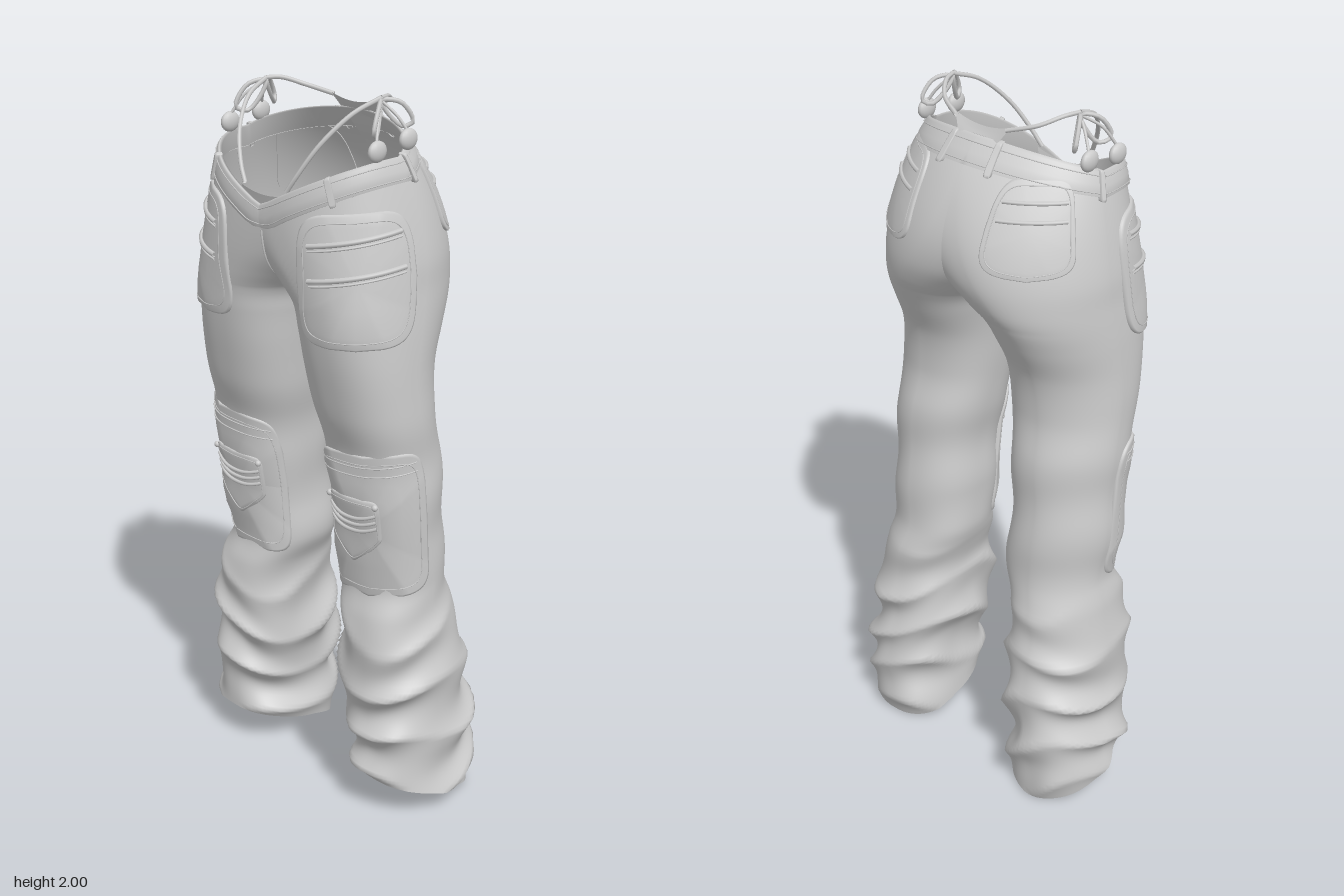
import * as THREE from 'three';
import { mergeVertices } from 'three/addons/utils/BufferGeometryUtils.js';

const { sin, cos, abs, PI, sign, max } = Math;
const material = new THREE.MeshStandardMaterial({ color: 0xcccccc, side: THREE.DoubleSide });
const smooth = THREE.MathUtils.smoothstep;
const rad = THREE.MathUtils.degToRad;

// Half-garment sections: height, inner x, outer x, front z, back z
const SECTIONS = [
  [0, .14, .415, .11, -.215], [.1, .135, .42, .12, -.235], [.2, .15, .415, .135, -.24],
  [.3, .13, .405, .145, -.235], [.42, .11, .405, .15, -.22], [.54, .12, .392, .148, -.2],
  [.62, .108, .375, .14, -.188], [.7, .083, .36, .11, -.172], [.82, .085, .365, .127, -.16],
  [.95, .085, .365, .142, -.15], [1.08, .07, .365, .158, -.14], [1.2, .05, .365, .19, -.12],
  [1.32, .035, .36, .215, -.13], [1.42, .02, .355, .23, -.175], [1.48, .003, .35, .235, -.205],
  [1.53, -.05, .345, .24, -.23], [1.6, -.14, .34, .245, -.248], [1.68, -.21, .325, .247, -.245],
  [1.76, -.25, .305, .245, -.22], [1.84, -.275, .28, .24, -.175], [1.92, -.25, .25, .22, -.105],
];
const POWER = 0.83;
const powSign = (v, p = POWER) => sign(v) * abs(v) ** p;

// Sections are boxy, but rounder at the outer back
const power = (a, y) => (sin(a) < 0 && cos(a) > 0 ? .9 + .2 * smooth(y, .3, .75) : POWER);

// Smooth interpolation of the section table
function section(y) {
  const S = SECTIONS, n = S.length;
  let i = 0;
  while (i < n - 2 && y > S[i + 1][0]) i++;
  const a = S[i], b = S[i + 1], p = S[max(0, i - 1)], q = S[Math.min(n - 1, i + 2)];
  const h = b[0] - a[0], t = THREE.MathUtils.clamp((y - a[0]) / h, 0, 1);
  const [inner, outer, front, back] = [1, 2, 3, 4].map((k) => {
    const m0 = (b[k] - p[k]) / (b[0] - p[0]) * h, m1 = (q[k] - a[k]) / (q[0] - a[0]) * h;
    return a[k] * (1 + 2 * t) * (1 - t) ** 2 + m0 * t * (1 - t) ** 2
      + b[k] * t * t * (3 - 2 * t) + m1 * t * t * (t - 1);
  });
  return { cx: (inner + outer) / 2, rx: (outer - inner) / 2, cz: (front + back) / 2, rz: (front - back) / 2 };
}

// Angle from the outer side at which the section reaches a given x; x = 0 is the centre seam
function angleAtX(x, y, face = 1) {
  const { cx, rx } = section(y);
  const p = x > cx ? power(face * PI / 4, y) : POWER;
  return Math.acos(THREE.MathUtils.clamp(powSign((x - cx) / rx, 1 / p), -1, 1));
}

// Waist edge: a shallow V in front, nearly level behind
const waistY = (a) => (sin(a) > 0
  ? 1.728 + .43 * max(0, .03 + .27 * powSign(cos(a)))
  : 1.857 + .063 * -sin(a));
const hemY = (a) => .06 + .06 * sin(a);

// Bunched cloth on the lower leg, faint creases higher up
function folds(a, y, s) {
  const w = y * 21 + 1.2 * sin(a + s) + .7 * sin(2 * a + y * 8 + s);
  const bunch = .034 * (1 - smooth(y, .35, .72)) * (.45 + .55 * smooth(y, 0, .15));
  const crease = .004 * smooth(y, .5, .7) * (1 - smooth(y, 1.0, 1.3));
  return bunch * (.5 - abs(sin(w))) * (.8 + .4 * sin(3 * a + y * 11 + s))
    + crease * sin(y * 26 + 2 * sin(a + s));
}

// Point on the cloth at angle a (0 = outer side, 90 degrees = front)
function cloth(s, a, y, off = 0) {
  const { cx, rx, cz, rz } = section(y);
  const n = new THREE.Vector2(cos(a) / rx, sin(a) / rz).normalize();
  const d = off + folds(a, y, s), p = power(a, y);
  return new THREE.Vector3(s * max(0, cx + rx * powSign(cos(a), p) + n.x * d), y, cz + rz * powSign(sin(a), p) + n.y * d);
}

// Same, with u in -1..1 fitted to the centre seam; heightAt maps angle to height
function fitted(s, u, heightAt, off) {
  let a = u * 2, y = heightAt(a);
  for (let i = 0; i < 12; i++) { a = u * angleAtX(0, y); y = heightAt(a); }
  const p = cloth(s, a, y, off);
  if (abs(u) === 1 && y > 1.465) p.x = 0;
  return p;
}

function grid(nu, nv, fn, flip) {
  const pos = [], index = [];
  for (let j = 0; j <= nv; j++) for (let i = 0; i <= nu; i++) pos.push(...fn(i / nu, j / nv, j).toArray());
  for (let j = 0; j < nv; j++) for (let i = 0; i < nu; i++) {
    const a = j * (nu + 1) + i, b = a + 1, c = a + nu + 1, d = c + 1;
    index.push(...(flip ? [a, b, c, b, d, c] : [a, c, b, b, c, d]));
  }
  let g = new THREE.BufferGeometry();
  g.setAttribute('position', new THREE.Float32BufferAttribute(pos, 3));
  g.setIndex(index);
  g = mergeVertices(g, 1e-5);
  g.computeVertexNormals();
  return g;
}

function add(parent, name, geometry) {
  const mesh = new THREE.Mesh(geometry, material);
  mesh.name = name;
  parent.add(mesh);
  return mesh;
}

function tube(parent, name, points, r, closed = false, sides = 6) {
  const curve = new THREE.CatmullRomCurve3(points, closed);
  return add(parent, name, new THREE.TubeGeometry(curve, points.length * 4, r, sides, closed));
}

// Rounded cloth patch; at(a, b, off) maps the unit square onto the cloth
function patch(parent, name, at, thick, { corner = .35, stitch = true, point = 0 } = {}) {
  const outline = (phi, r) => {
    const x = sign(cos(phi)) * abs(cos(phi)) ** corner, y = sign(sin(phi)) * abs(sin(phi)) ** corner;
    const lift = y < 0 ? point * abs(x) * -y : 0;
    return [.5 + .5 * r * x, .5 + .5 * r * (y + lift)];
  };
  const radii = [0, .2, .4, .6, .8, .97, 1, 1];
  add(parent, name, grid(56, 7, (u, v, j) => at(...outline(u * 2 * PI, radii[j]), j === 7 ? -.004 : j === 6 ? thick * .6 : thick)));
  if (stitch) {
    const pts = Array.from({ length: 48 }, (_, i) => at(...outline(i / 24 * PI, .88), thick));
    tube(parent, name + 'Stitching', pts, .0015, true, 5);
  }
}

const line = (at, b0, b1, off, a0 = .1, a1 = .9) =>
  Array.from({ length: 12 }, (_, i) => at(a0 + (a1 - a0) * i / 11, b0 + (b1 - b0) * i / 11, off));

function buildSide(s) {
  const side = new THREE.Group();
  side.name = s > 0 ? 'leftHalf' : 'rightHalf';

  // Trouser leg and hip in one cloth
  const rowY = (v) => (a) => {
    const y = v * 1.92;
    if (y < .4) return hemY(a) + (.4 - hemY(a)) * y / .4;
    return y > 1.4 ? 1.4 + (waistY(a) - 1.4) * (y - 1.4) / .52 : y;
  };
  add(side, 'trouserLeg', grid(80, 150, (u, v) => fitted(s, u * 2 - 1, rowY(v), 0), s < 0));

  // Waistband with stitched edges
  const bandProfile = [[-.058, -.002], [-.056, .006], [-.03, .008], [-.002, .006], [.003, .002], [0, -.006], [-.055, -.006]];
  add(side, 'waistband', grid(48, 6, (u, v, j) =>
    fitted(s, u * 2 - 1, (a) => waistY(a) + bandProfile[j][0], bandProfile[j][1]), s < 0));
  for (const d of [-.048, -.01]) {
    tube(side, 'waistbandStitching', Array.from({ length: 30 }, (_, i) =>
      fitted(s, i / 14.5 - 1, (a) => waistY(a) + d, .008)), .0015, false, 5);
  }
  for (const deg of [-72, -5, 52]) {
    const at = (a, b, off) => {
      const t = rad(deg + (a - .5) * 4);
      return cloth(s, t, waistY(t) - .066 + b * .07, off);
    };
    patch(side, 'beltLoop', at, .014, { stitch: false });
  }

  // Patch coordinates: from a start angle to an inner x, on the front (1) or back (-1)
  const area = (deg, x1, y0, y1, { face = 1, slant = 0 } = {}) => (a, b, off) => {
    const y = y0 + (y1 - y0) * b - slant * a, start = rad(deg);
    return cloth(s, face * (start + (angleAtX(x1, y, face) - start) * a), y, off);
  };

  // Front pocket with two zips
  const front = area(7, .13, 1.41, 1.745, { slant: .015 });
  patch(side, 'frontPocket', front, .01);
  for (const b of [.56, .82]) {
    tube(side, 'frontPocketZip', line(front, b + .03, b - .05, .012), .007);
    tube(side, 'frontPocketZipEdge', line(front, b - .01, b - .09, .011), .003);
  }

  // Back pocket with two zips
  const back = area(24, .115, 1.635, 1.86, { face: -1 });
  patch(side, 'backPocket', back, .008, { corner: .42, point: .1 });
  for (const b of [.6, .78]) tube(side, 'backPocketZip', line(back, b, b, .009), .006);

  // Knee pad with a small pointed pouch
  const knee = area(4, .1, .7, 1.12, { slant: .035 });
  patch(side, 'kneePad', knee, .008, { corner: .28 });
  for (const b of [.86, .92]) tube(side, 'kneePadSeam', line(knee, b, b, .008, .06, .94), .002);
  const pouch = area(58, .14, .785, .98, { slant: .01 });
  patch(side, 'kneePouch', pouch, .014, { corner: .25, point: .75 });
  for (const b of [.6, .7, .8]) {
    const pts = line(pouch, b, b, .015, .06, .94);
    pts.forEach((p, i) => { p.y -= .018 * sin(i / 11 * PI); });
    tube(side, 'kneePouchFold', pts, .005);
  }
  for (const a of [.06, .94]) {
    const rivet = add(side, 'rivet', new THREE.SphereGeometry(.009, 10, 8));
    rivet.position.copy(pouch(a, .93, .016));
  }

  // Underwear strap with a side bow
  const path = (list) => list.map(([x, y, z]) => new THREE.Vector3(s * x, y, z));
  tube(side, 'frontStrap', path([[.075, 1.77, .228], [.1, 1.81, .218], [.145, 1.89, .18], [.185, 1.96, .11], [.205, 1.992, .03]]), .006);
  tube(side, 'backStrap', path([[.205, 1.992, .03], [.19, 1.99, -.01], [.15, 1.97, -.06], [.08, 1.95, -.095]]), .006);
  tube(side, 'bowLoopFront', path([[.205, 1.985, .03], [.235, 1.975, .07], [.248, 1.92, .1], [.23, 1.91, .07]]), .006, true);
  tube(side, 'bowLoopBack', path([[.205, 1.985, .03], [.235, 1.98, -.01], [.248, 1.93, -.04], [.23, 1.92, -.02]]), .006, true);
  for (const [z, y] of [[.105, 1.88], [-.005, 1.895]]) {
    tube(side, 'bowTail', path([[.207, 1.985, .03], [.24, 1.95, .03 + (z - .03) * .6], [.262, y + .02, z]]), .004);
    const bead = add(side, 'bowBead', new THREE.SphereGeometry(.03, 16, 12));
    bead.scale.set(.5, .9, 1);
    bead.position.set(s * .265, y, z);
  }
  return side;
}

export function createModel() {
  const model = new THREE.Group();
  model.name = 'trousers';
  for (const s of [1, -1]) model.add(buildSide(s));

  // Fly seam
  tube(model, 'flySeam', Array.from({ length: 10 }, (_, i) => {
    const p = fitted(1, 1, () => 1.53 + i * .015, 0);
    return p.setZ(p.z + .001);
  }), .003);

  // Underwear: one strip from front to rear; x holds the half width
  const strip = new THREE.CatmullRomCurve3([
    [.09, 1.765, .228], [.05, 1.65, .2], [.03, 1.55, .1], [.022, 1.515, 0], [.016, 1.56, -.1],
    [.012, 1.66, -.185], [.014, 1.77, -.185], [.045, 1.88, -.125], [.088, 1.957, -.088],
  ].map((p) => new THREE.Vector3(...p)));
  add(model, 'underwear', grid(12, 60, (u, v) => {
    const p = strip.getPoint(v), k = u * 2 - 1;
    const dip = .016 * (1 - k * k) * smooth(abs(v - .5), .4, .5);
    return new THREE.Vector3(p.x * k, p.y - dip, p.z);
  }));
  return model;
}
